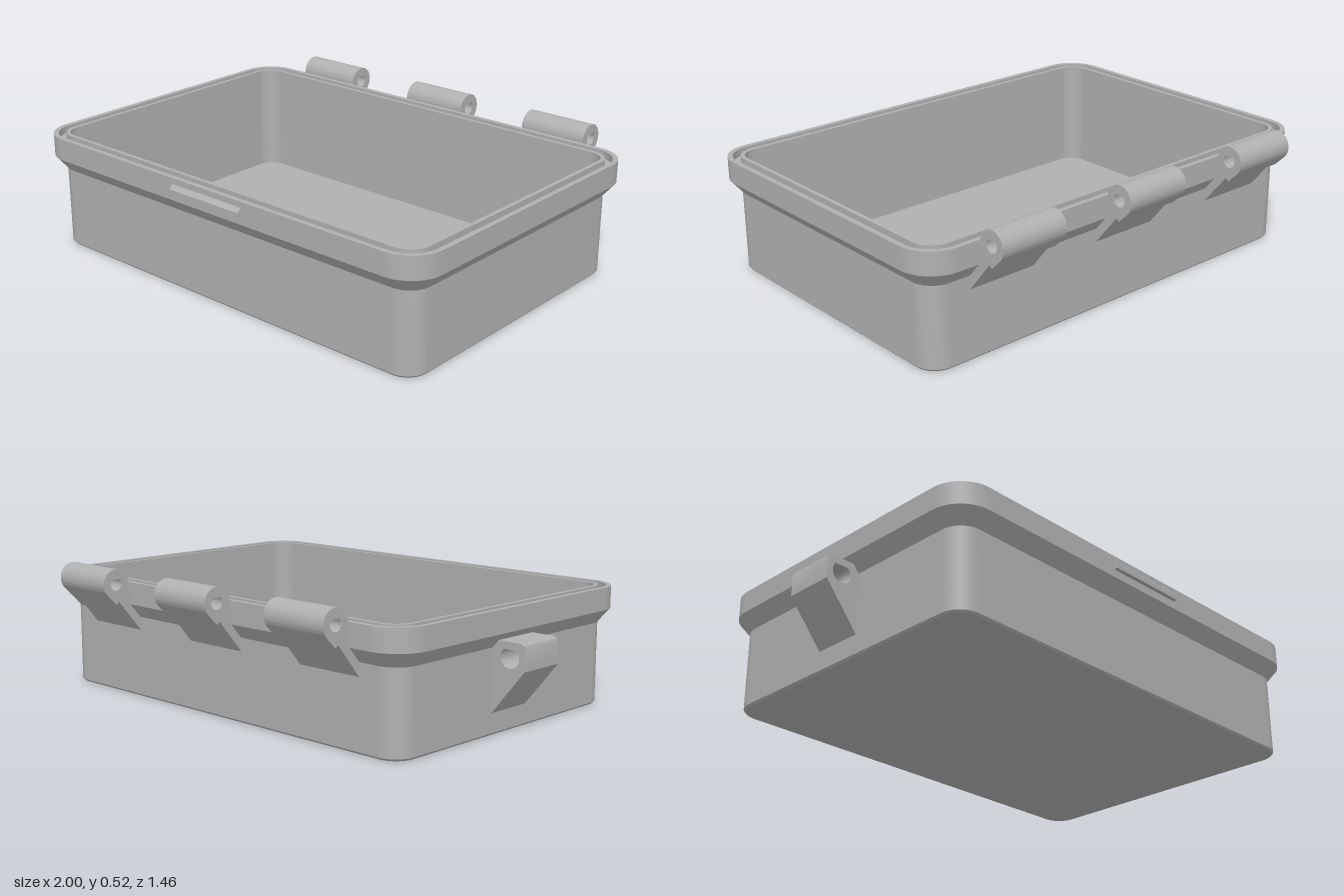
import * as THREE from 'three';
import { toCreasedNormals } from 'three/addons/utils/BufferGeometryUtils.js';

const CX = 0.0465, CZ = 0.056;        // centre of the box
const HX = 0.9535, HZ = 0.659;        // half size of the rim
const CORNER = 0.135;                 // corner radius of the rim

// Points of a rounded rectangle, inset from the rim outline
function roundedLoop(inset, steps = 12) {
  const r = CORNER - inset, pts = [];
  for (let q = 0; q < 4; q++) {
    const sx = q === 0 || q === 3 ? 1 : -1, sz = q < 2 ? 1 : -1;
    for (let i = 0; i <= steps; i++) {
      const a = (q + i / steps) * Math.PI / 2;
      pts.push([
        CX + sx * (HX - CORNER) + r * Math.cos(a),
        CZ + sz * (HZ - CORNER) + r * Math.sin(a),
      ]);
    }
  }
  return pts;
}

// Strip between two [inset, y] levels; a null inset closes to the centre
function addStrip(group, material, name, [i0, y0], [i1, y1]) {
  const loop = (inset) => inset === null ? roundedLoop(0).map(() => [CX, CZ]) : roundedLoop(inset);
  const a = loop(i0), b = loop(i1), n = a.length;
  const pos = [], idx = [];
  a.forEach(([x, z]) => pos.push(x, y0, z));
  b.forEach(([x, z]) => pos.push(x, y1, z));
  for (let i = 0; i < n; i++) {
    const j = (i + 1) % n;
    if (i1 !== null) idx.push(i, n + i, n + j);
    if (i0 !== null) idx.push(i, n + j, j);
  }
  const g = new THREE.BufferGeometry();
  g.setAttribute('position', new THREE.Float32BufferAttribute(pos, 3));
  g.setIndex(idx);
  g.computeVertexNormals();
  const mesh = new THREE.Mesh(g, material);
  mesh.name = name;
  group.add(mesh);
}

// Round hole with a pointed top
function teardropHole(x, y, r, tip) {
  const h = new THREE.Path();
  h.moveTo(x, y + tip);
  h.absarc(x, y, r, Math.PI * 0.75, Math.PI * 2.25, false);
  h.closePath();
  return h;
}

function extrude(shape, depth) {
  const g = new THREE.ExtrudeGeometry(shape, { depth, bevelEnabled: false, curveSegments: 32 });
  return toCreasedNormals(g, 0.5);
}

function polygon(points) {
  return new THREE.Shape(points.map(([x, y]) => new THREE.Vector2(x, y)));
}

export function createModel() {
  const model = new THREE.Group();
  model.name = 'hingedBoxBase';
  const grey = new THREE.MeshStandardMaterial({ color: 0xb0b0b0 });
  grey.name = 'grey plastic';

  // Open tray: underside, walls, flared rim, seal groove, cavity and floor
  const tray = new THREE.Group();
  tray.name = 'tray';
  const profile = [
    [null, 0, 'underside'], [0.054, 0, 'bottomChamfer'], [0.047, 0.008, 'outerWall'],
    [0.047, 0.323, 'flare'], [0, 0.379, 'rimSide'], [0, 0.467, 'rimTop'],
    [0.02, 0.467, 'grooveOuterWall'], [0.02, 0.438, 'grooveFloor'],
    [0.05, 0.438, 'grooveInnerWall'], [0.05, 0.467, 'innerLip'],
    [0.066, 0.467, 'cavityWall'], [0.066, 0.02, 'cavityFloor'], [null, 0.02, ''],
  ];
  for (let i = 0; i < profile.length - 1; i++) {
    addStrip(tray, grey, profile[i][2], profile[i], profile[i + 1]);
  }
  model.add(tray);

  // Three hinge knuckles on the back, drawn with shape x = -z
  const hx = 0.67, hy = 0.467, hr = 0.058;
  const hinge = polygon([[0.546, 0.26], [0.555, 0.27], [0.658, 0.396], [hx, hy - hr * Math.SQRT2]]);
  hinge.absarc(hx, hy, hr, -Math.PI / 4, Math.PI * 1.12, false);
  hinge.lineTo(0.598, 0.42);
  hinge.lineTo(0.585, 0.41);
  hinge.lineTo(0.546, 0.33);
  hinge.closePath();
  hinge.holes.push(teardropHole(hx, hy, 0.026, 0.036));
  const hingeGeo = extrude(hinge, 0.284);
  hingeGeo.rotateY(Math.PI / 2);
  [-0.59, 0, 0.59].forEach((x) => {
    const m = new THREE.Mesh(hingeGeo, grey);
    m.name = 'hingeKnuckle';
    m.position.x = CX + x - 0.142;
    model.add(m);
  });

  // Pierced lug on the right wall
  const lug = polygon([
    [-0.85, 0.073], [-0.85, 0.353], [-0.98, 0.353], [-0.994, 0.347],
    [-1, 0.333], [-1, 0.254], [-0.86, 0.083],
  ]);
  lug.holes.push(teardropHole(-0.936, 0.297, 0.04, 0.05));
  const lugMesh = new THREE.Mesh(extrude(lug, 0.2), grey);
  lugMesh.name = 'sideLug';
  lugMesh.position.z = -0.052;
  model.add(lugMesh);

  // Latch catch on the front of the rim, with a sloping top
  const zf = CZ + HZ;
  const latchGeo = extrude(polygon([
    [-zf + 0.008, 0.41], [-zf + 0.008, 0.446], [-zf, 0.444], [-zf - 0.016, 0.428], [-zf - 0.016, 0.41],
  ]), 0.35);
  latchGeo.rotateY(Math.PI / 2);
  const latch = new THREE.Mesh(latchGeo, grey);
  latch.name = 'latchCatch';
  latch.position.x = CX - 0.175;
  model.add(latch);

  return model;
}
